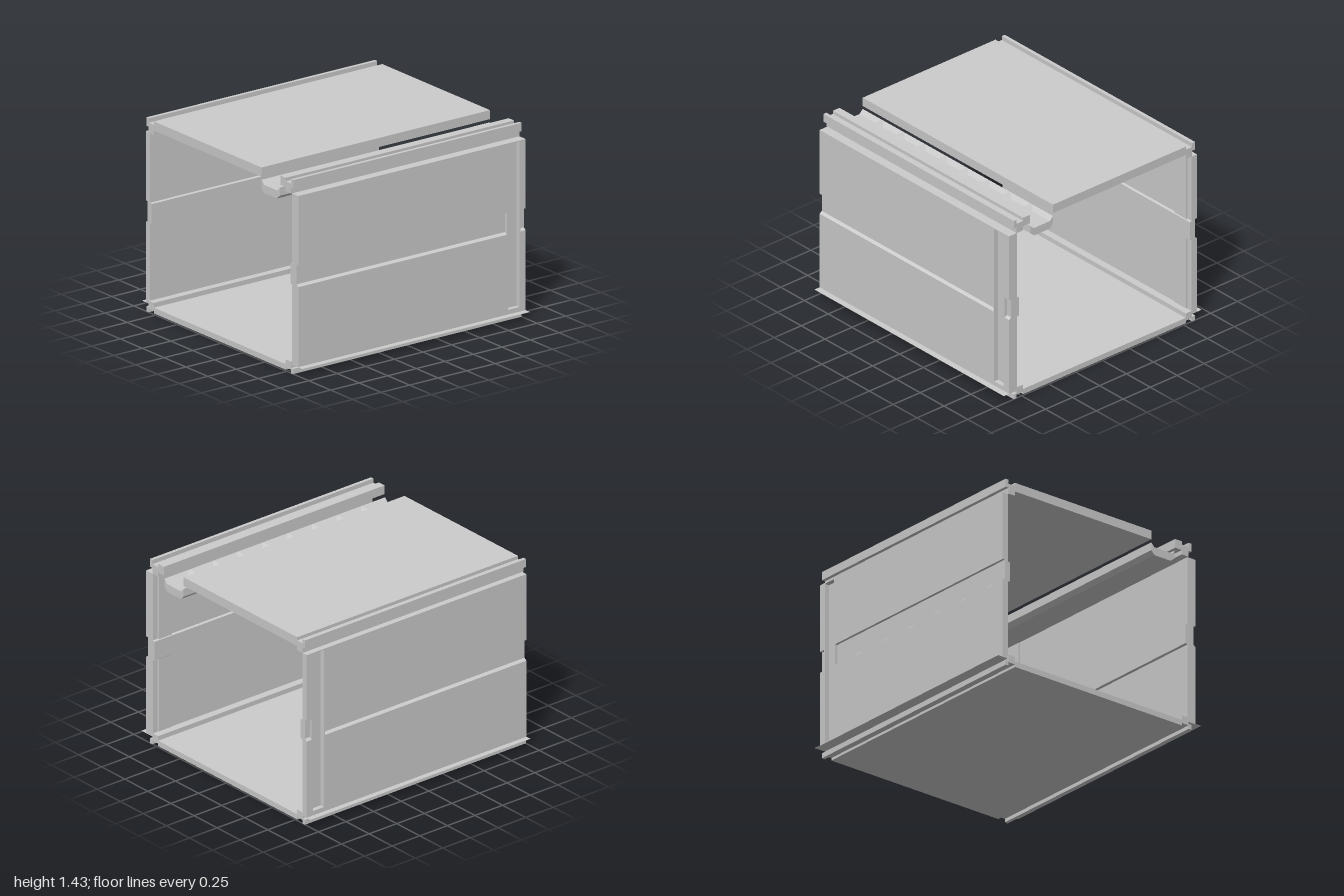
import * as THREE from 'three';

const material = new THREE.MeshStandardMaterial({ color: 0xcccccc, flatShading: true, side: THREE.DoubleSide });

// Extrudes an (x, y) outline from z0 to z1
function prism(name, points, z0, z1) {
  const shape = new THREE.Shape(points.map(([x, y]) => new THREE.Vector2(x, y)));
  const geometry = new THREE.ExtrudeGeometry(shape, { depth: z1 - z0, bevelEnabled: false });
  geometry.translate(0, 0, z0);
  const mesh = new THREE.Mesh(geometry, material);
  mesh.name = name;
  return mesh;
}

// Side wall: side is +1 or -1, outer and inner are distances from the centre plane
function sideWall(name, side, outer, inner) {
  const group = new THREE.Group();
  group.name = name;
  const bottom = 0.06, top = 1.32, front = 0.99;
  const add = (part, points, z0, z1) =>
    group.add(prism(part, points.map(([d, y]) => [side * d, y]), z0, z1));

  const rib = inner - 0.018;      // inside of the horizontal band
  const post = inner - 0.012;     // inside of the upright post
  const groove = outer - 0.02;    // outside floor of the band
  const slot = outer - 0.035;     // floor of the upright slot

  const innerSide = [[inner, top], [inner, 0.805], [rib, 0.8], [rib, 0.655], [inner, 0.65], [inner, bottom]];
  const grooved = [...innerSide, [outer, bottom], [outer, 0.65], [groove, 0.665], [groove, 0.81], [outer, 0.81], [outer, top]];
  const postInner = [[inner, top], [post, 1.315], [post, 0.805], [rib, 0.8], [rib, 0.655], [post, 0.65], [post, 0.09], [inner, 0.085], [inner, bottom]];
  const plain = [...postInner, [outer, bottom], [outer, top]];
  const slotted = [...postInner, [outer, bottom], [outer, 0.095], [slot, 0.095], [slot, 1.312], [outer, 1.312], [outer, top]];

  add('groovedPanel', grooved, -0.835, front);
  add('slotFrameFront', plain, -0.845, -0.835);
  add('slotPost', slotted, -0.945, -0.845);
  add('slotFrameBack', plain, -0.955, -0.945);
  add('groovedEdge', grooved, -1, -0.955);

  // Thin flange under the wall
  const flange = new THREE.Mesh(new THREE.BoxGeometry(0.915 - inner, 0.002, 1 + front), material);
  flange.position.set(side * (0.915 + inner) / 2, bottom, (front - 1) / 2);
  flange.name = 'bottomFlange';
  group.add(flange);
  return group;
}

// Row of sloped ridges on a shallow trough
function cableTray() {
  const group = new THREE.Group();
  group.name = 'dividedTray';
  const x0 = 0.46, x1 = 0.67, floor = 1.3, rim = 1.33;
  group.add(prism('trough', [
    [x0, rim], [x0, 1.27], [x0 + 0.03, 1.24], [x1 - 0.035, 1.24], [x1, 1.27], [x1, rim],
    [x1 - 0.03, floor], [x0 + 0.03, floor],
  ], -1, 1));
  for (let i = 0; i < 8; i++) {
    const ridge = prism('divider', [[-0.042, floor - 0.002], [0.042, floor - 0.002], [0.005, rim], [-0.005, rim]], x0, x1);
    ridge.rotation.y = Math.PI / 2;
    ridge.position.z = -0.772 + i * 0.2235;
    group.add(ridge);
  }
  return group;
}

export function createModel() {
  const model = new THREE.Group();
  model.name = 'openCase';

  // Floor panel with raised inner rails, outer lips and grooves underneath
  model.add(prism('floorPanel', [
    [-0.855, 0], [-0.828, 0], [-0.828, 0.027], [-0.77, 0.027], [-0.77, 0.008],
    [0.737, 0.008], [0.737, 0.027], [0.797, 0.027], [0.797, 0], [0.823, 0],
    [0.823, 0.038], [0.797, 0.038], [0.797, 0.085], [0.737, 0.085], [0.737, 0.05],
    [-0.77, 0.05], [-0.77, 0.085], [-0.828, 0.085], [-0.828, 0.038], [-0.855, 0.038],
  ], -1, 1));

  // Roof panel with the left edge rail
  model.add(prism('roofPanel', [
    [-0.855, 1.427], [-0.828, 1.427], [-0.828, 1.395], [-0.77, 1.395], [-0.77, 1.42],
    [0.46, 1.42], [0.46, 1.353], [-0.77, 1.353], [-0.77, 1.32], [-0.828, 1.32],
    [-0.828, 1.365], [-0.855, 1.365],
  ], -1, 1));

  // Right edge rail, separated from the roof by the tray gap
  model.add(prism('rightTopRail', [
    [0.675, 1.42], [0.737, 1.42], [0.737, 1.395], [0.797, 1.395], [0.797, 1.427], [0.823, 1.427],
    [0.823, 1.365], [0.797, 1.365], [0.797, 1.32], [0.737, 1.32], [0.737, 1.353], [0.675, 1.353],
  ], -1, 1));

  model.add(cableTray());
  model.add(sideWall('leftWall', 1, 0.868, 0.795));
  model.add(sideWall('rightWall', -1, 0.873, 0.825));
  return model;
}
